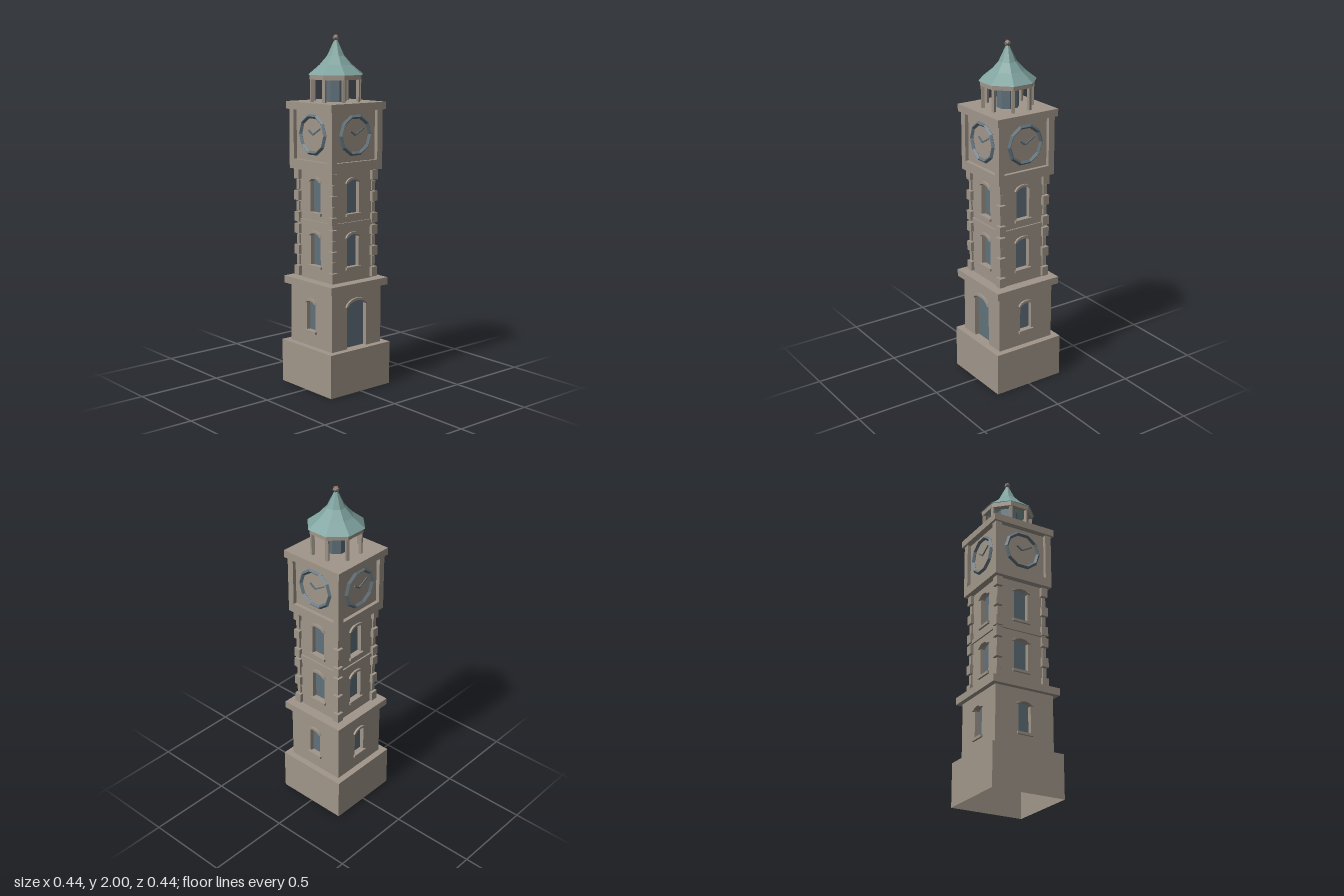
import * as THREE from 'three';

const material = (name, color) => new THREE.MeshStandardMaterial({ name, color, side: THREE.DoubleSide });

export function createModel() {
  const stone = material('stone', 0xa0968a);
  const glass = material('blue grey glass', 0x60717b);
  const copper = material('copper green', 0x7fa39f);
  const bronze = material('bronze', 0x8a7469);
  const tower = new THREE.Group();
  tower.name = 'clockTower';

  const add = (parent, name, geometry, mat, x = 0, y = 0, z = 0) => {
    const mesh = new THREE.Mesh(geometry, mat);
    mesh.name = name;
    mesh.position.set(x, y, z);
    parent.add(mesh);
    return mesh;
  };
  const box = (parent, name, w, h, d, x, y, z, mat = stone) =>
    add(parent, name, new THREE.BoxGeometry(w, h, d), mat, x, y, z);
  // Square slab given by its half width, bottom and top
  const slab = (name, half, y0, y1) =>
    box(tower, name, half * 2, y1 - y0, half * 2, 0, (y0 + y1) / 2, 0);
  const faceted = (geometry) => {
    const g = geometry.index ? geometry.toNonIndexed() : geometry;
    g.computeVertexNormals();
    return g;
  };
  // Octagonal lathe with flat sides toward the axes; radii are measured to the flats
  const octagon = (points) => faceted(new THREE.LatheGeometry(
    points.map(([r, y]) => new THREE.Vector2(r / Math.cos(Math.PI / 8), y)), 8, Math.PI / 8));
  // Runs a builder once for each side of the tower
  const eachSide = (name, build) => {
    for (let i = 0; i < 4; i++) {
      const side = new THREE.Group();
      side.name = name;
      side.rotation.y = i * Math.PI / 2;
      build(side, i);
      tower.add(side);
    }
  };

  // Opening with a shallow arched head
  const traceOpening = (path, a, y0, spring, crown) => {
    path.moveTo(-a, y0);
    path.lineTo(a, y0);
    path.lineTo(a, spring);
    path.quadraticCurveTo(a * 0.7, crown, 0, crown);
    path.quadraticCurveTo(-a * 0.7, crown, -a, spring);
    path.lineTo(-a, y0);
    return path;
  };

  // One storey wall with a pierced opening, glazing, hood and sill on each side
  const storey = (name, half, y0, y1, openingFor) => {
    const depth = 0.03;
    eachSide(name, (side, i) => {
      const { a, bottom, spring, crown, door } = openingFor(i);
      const w = i % 2 ? half - depth : half;
      const wall = new THREE.Shape();
      if (door) {
        wall.moveTo(-w, y0);
        wall.lineTo(-a, y0);
        wall.lineTo(-a, spring);
        wall.quadraticCurveTo(-a * 0.7, crown, 0, crown);
        wall.quadraticCurveTo(a * 0.7, crown, a, spring);
        wall.lineTo(a, y0);
        wall.lineTo(w, y0);
      } else {
        wall.moveTo(-w, y0);
        wall.lineTo(w, y0);
        wall.holes.push(traceOpening(new THREE.Path(), a, bottom, spring, crown));
      }
      wall.lineTo(w, y1);
      wall.lineTo(-w, y1);
      add(side, 'wall', new THREE.ExtrudeGeometry(wall, { depth, bevelEnabled: false, curveSegments: 4 }),
        stone, 0, 0, half - depth);

      const pane = traceOpening(new THREE.Shape(), a, bottom, spring, crown);
      add(side, door ? 'door' : 'windowPane', new THREE.ShapeGeometry(pane, 4), glass, 0, 0, half - 0.026);

      // Arched hood moulding
      const t = 0.014, o = a + t;
      const hood = new THREE.Shape();
      hood.moveTo(a, spring);
      hood.quadraticCurveTo(a * 0.7, crown, 0, crown);
      hood.quadraticCurveTo(-a * 0.7, crown, -a, spring);
      hood.lineTo(-o, spring);
      hood.quadraticCurveTo(-o * 0.75, crown + t, 0, crown + t);
      hood.quadraticCurveTo(o * 0.75, crown + t, o, spring);
      add(side, 'hood', new THREE.ExtrudeGeometry(hood, { depth: 0.014, bevelEnabled: false, curveSegments: 4 }),
        stone, 0, 0, half - 0.002);
      if (!door) box(side, 'sill', a * 2 + 0.022, 0.015, 0.022, 0, bottom - 0.0055, half + 0.001);
    });
  };

  // Hollow plinth, open underneath
  eachSide('plinthSide', (side) =>
    add(side, 'plinthWall', new THREE.PlaneGeometry(0.44, 0.25), stone, 0, 0.125, 0.22));
  add(tower, 'plinthTop', new THREE.PlaneGeometry(0.44, 0.44), stone, 0, 0.25, 0).rotation.x = -Math.PI / 2;

  // Ground storey: door in front, windows on the other sides
  storey('groundStorey', 0.182, 0.25, 0.59, (i) => i === 0
    ? { a: 0.072, bottom: 0.25, spring: 0.495, crown: 0.527, door: true }
    : { a: 0.038, bottom: 0.34, spring: 0.5, crown: 0.515 });
  slab('lowerCornice', 0.21, 0.588, 0.63);

  // Two shaft storeys with a string course between them
  storey('lowerShaft', 0.148, 0.63, 0.95, () => ({ a: 0.044, bottom: 0.712, spring: 0.882, crown: 0.9 }));
  storey('upperShaft', 0.148, 0.965, 1.257, () => ({ a: 0.044, bottom: 1.015, spring: 1.19, crown: 1.208 }));
  slab('stringCourse', 0.157, 0.945, 0.97);

  // Alternating corner quoins
  eachSide('quoins', (side) => {
    for (const start of [0.637, 0.95]) {
      for (let k = 0; k < 5; k++) {
        const [inner, outer] = k % 2 ? [0.135, 0.158] : [0.127, 0.168];
        const c = (inner + outer) / 2, s = outer - inner;
        box(side, 'quoin', s, 0.055, s, c, start + 0.029 + k * 0.061, c);
      }
    }
  });

  // Clock stage with sunken panels between corner piers
  slab('clockStageBand', 0.185, 1.255, 1.31);
  slab('clockStageCore', 0.163, 1.31, 1.59);
  slab('upperCornice', 0.198, 1.59, 1.632);
  eachSide('clockSide', (side) => {
    box(side, 'cornerPier', 0.038, 0.28, 0.038, 0.166, 1.45, 0.166);
    const clock = new THREE.Group();
    clock.name = 'clock';
    clock.position.set(0, 1.455, 0.163);
    side.add(clock);
    add(clock, 'clockRing', faceted(new THREE.TorusGeometry(0.106, 0.012, 4, 10)), glass, 0, 0, 0.004);
    const hand = (name, x, y, width) => {
      const m = box(clock, name, Math.hypot(x, y), width, 0.006, x / 2, y / 2, 0.004, glass);
      m.rotation.z = Math.atan2(y, x);
    };
    hand('hourHand', -0.036, 0.024, 0.009);
    hand('minuteHand', 0.064, 0.037, 0.007);
  });

  // Lantern: glazed core, eight posts and an eaves ring
  add(tower, 'lanternCore', octagon([[0, 1.63], [0.058, 1.63], [0.058, 1.785], [0, 1.785]]), glass);
  for (let i = 0; i < 8; i++) {
    const t = Math.PI / 8 + i * Math.PI / 4;
    const post = box(tower, 'lanternPost', 0.018, 0.135, 0.018, Math.sin(t) * 0.138, 1.695, Math.cos(t) * 0.138);
    post.rotation.y = t;
  }
  add(tower, 'eavesRing',
    octagon([[0.115, 1.756], [0.141, 1.756], [0.141, 1.784], [0.115, 1.784], [0.115, 1.756]]), stone);

  // Flared spire roof and finial
  add(tower, 'roof', octagon([[0.15, 1.782], [0.088, 1.836], [0.047, 1.885], [0.007, 1.975]]), copper);
  add(tower, 'finial', new THREE.IcosahedronGeometry(0.019, 0), bronze, 0, 1.983, 0);

  return tower;
}
